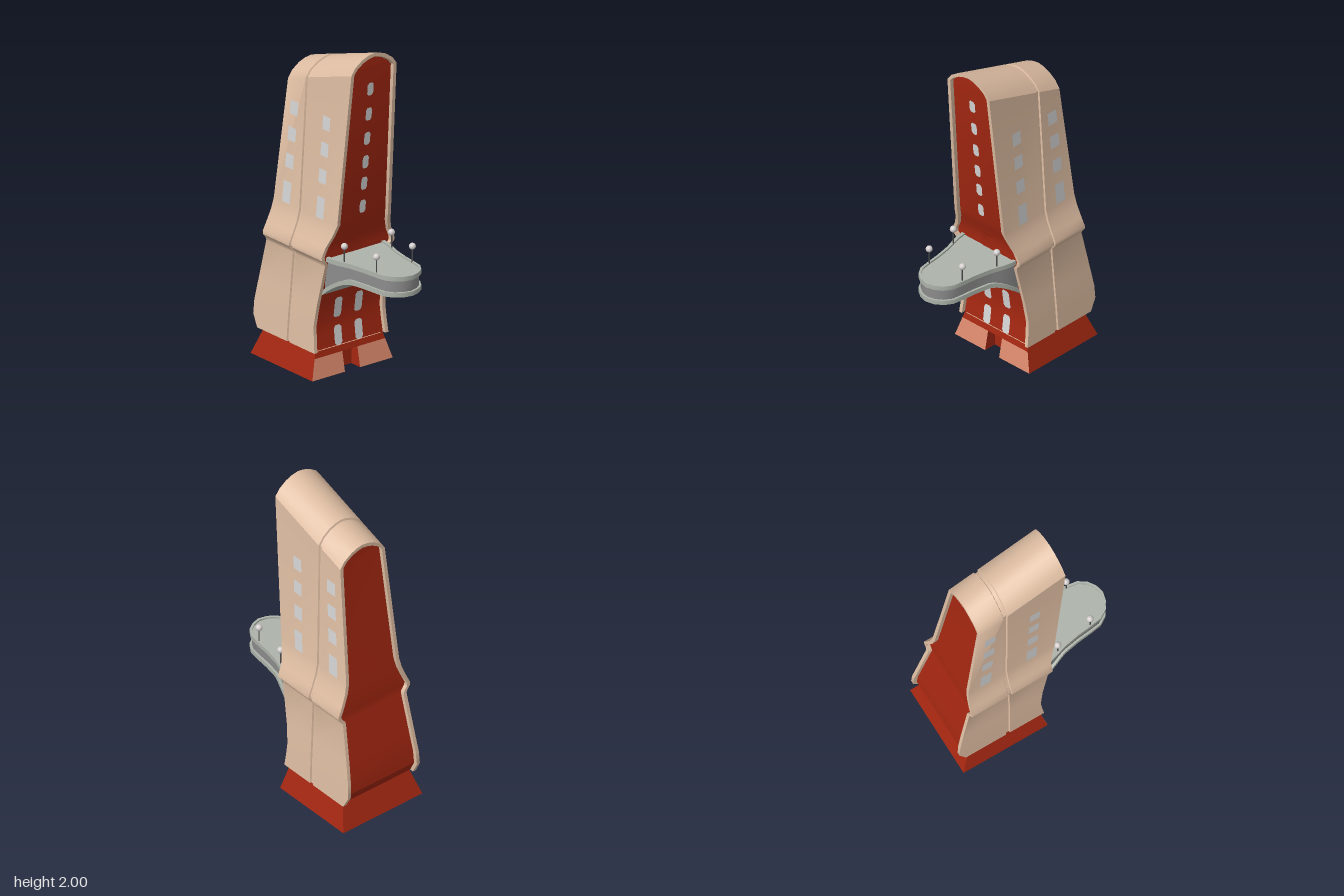
import * as THREE from 'three';
import { toCreasedNormals } from 'three/addons/utils/BufferGeometryUtils.js';

const mat = (name, color) => Object.assign(new THREE.MeshStandardMaterial({ color, side: THREE.DoubleSide }), { name });
const lerp = THREE.MathUtils.lerp;

// Skin a surface over rows of [x, y, z] points; ring = join last column to first
function loft(rows, ring = false, crease = 0.6) {
  const pos = [];
  const tri = (a, b, c) => {
    const [A, B, C] = [a, b, c].map((p) => new THREE.Vector3(...p));
    if (B.sub(A).cross(C.sub(A)).length() > 1e-9) pos.push(...a, ...b, ...c);
  };
  for (let r = 0; r + 1 < rows.length; r++) {
    const n = rows[r].length;
    for (let c = 0; c < (ring ? n : n - 1); c++) {
      const d = (c + 1) % n;
      tri(rows[r][c], rows[r][d], rows[r + 1][d]);
      tri(rows[r][c], rows[r + 1][d], rows[r + 1][c]);
    }
  }
  const g = new THREE.BufferGeometry();
  g.setAttribute('position', new THREE.Float32BufferAttribute(pos, 3));
  return toCreasedNormals(g, crease);
}

// Tower half-section: z, left y, left x, right y, right x, roof factor
const section = [
  [0.27, 0.16, -0.52, 0.16, 0, 0],
  [0.266, 0.235, -0.56, 0.235, -0.01, 0],
  [0.262, 0.32, -0.555, 0.32, -0.018, 0],
  [0.252, 0.45, -0.53, 0.45, 0, 0],
  [0.236, 0.7, -0.479, 0.7, 0.053, 0],
  [0.24, 0.715, -0.476, 0.715, 0.056, 0],
  [0.264, 0.745, -0.475, 0.745, 0.06, 0],
  [0.265, 0.765, -0.475, 0.765, 0.06, 0],
  [0.24, 0.82, -0.472, 0.82, 0.064, 0],
  [0.212, 0.89, -0.466, 0.89, 0.09, 0],
  [0.196, 0.96, -0.46, 0.96, 0.115, 0],
  [0.165, 1.71, -0.37, 1.9, 0.205, 0],
  [0.135, 1.752, -0.37, 1.942, 0.205, 0.5],
  [0.085, 1.787, -0.37, 1.977, 0.205, 0.85],
  [0.04, 1.804, -0.37, 1.994, 0.205, 1],
  [0, 1.81, -0.37, 2, 0.205, 1],
];
const thick = 0.022, recess = 0.025;

// Point on a section row at x, sunk by t below the outer surface
function skin([z, yL, xL, yR, xR, k], x, t) {
  const y = lerp(yL, yR, (x - xL) / (xR - xL));
  return [x, y - t * k, yL > 1.5 ? z * (1 - t / 0.165) : z - t];
}
const flip = (rows) => rows.map((row) => row.map(([x, y, z]) => [x, y, -z]));

// x of the recessed right end wall at height y
function endX(y) {
  for (let i = 1; i < section.length; i++) {
    const a = section[i - 1], b = section[i];
    if (y <= b[3]) return lerp(a[4], b[4], (y - a[3]) / (b[3] - a[3])) - recess;
  }
  return 0.205 - recess;
}

export function createModel() {
  const root = new THREE.Group();
  root.name = 'tower';
  const M = {
    tan: mat('tan cladding', 0xdebda2),
    red: mat('red wall', 0xa42711),
    salmon: mat('salmon panel', 0xdc8a6e),
    pane: mat('window pane', 0xd6d6d6),
    sage: mat('sage deck', 0xadb4aa),
    grey: mat('grey parapet', 0x8c8c8c),
    dark: mat('dark pole', 0x4c4c4c),
    globe: mat('lamp globe', 0xd6d0d0),
  };
  const add = (name, geo, m, parent = root) => {
    const mesh = new THREE.Mesh(geo, m);
    mesh.name = name;
    parent.add(mesh);
    return mesh;
  };

  // Cladding: closed ring of outer skin with a vertical groove, and inner skin
  const shellRow = (s, rim) => {
    const gx = lerp(-0.24, -0.19, (s[1] - 0.16) / 1.65), o = rim ? thick : 0, g = rim ? thick : 0.01;
    return [[s[2], o], [gx - 0.014, o], [gx - 0.01, g], [gx + 0.01, g], [gx + 0.014, o], [s[4], o],
      [s[4], thick], [s[2], thick]].map(([x, t]) => skin(s, x, t));
  };
  const half = [shellRow(section[0], true), ...section.map((s) => shellRow(s, false))];
  add('cladding', loft([...half, ...flip(half.slice(0, -1)).reverse()], true), M.tan);

  // Red body recessed between the cladding edges
  add('body', loft(section.map((s) => {
    const l = skin(s, s[2], thick - 0.004), r = skin(s, s[4], thick - 0.004);
    const xl = l[0] + recess, xr = r[0] - recess;
    return [[xl, l[1], l[2]], [xr, r[1], r[2]], [xr, r[1], -r[2]], [xl, l[1], -l[2]]];
  }), true, 0.3), M.red);

  // Slanted windows on both broad sides
  const sideZ = (x, y) => 0.196 - 0.031 * (y - 0.96) / (1.832 + 0.33 * x - 0.96) + 0.003;
  for (const [y0, y1] of [[0.96, 1.092], [1.175, 1.262], [1.343, 1.428], [1.505, 1.59]]) {
    for (const [xa, xb, w] of [[-0.383, -0.333, 0.07], [-0.075, -0.037, 0.066]]) {
      const rows = [y0, y1].map((y) => {
        const x = lerp(xa, xb, (y - 0.96) / 0.63);
        return [[x, y, sideZ(x, y)], [x + w, y, sideZ(x + w, y)]];
      });
      add('frontWindow', loft(rows), M.pane);
      add('backWindow', loft(flip(rows).map((r) => r.reverse())), M.pane);
    }
  }

  // Thin plates on the right end wall; each step is [y, half width]
  const endPlate = (name, zc, steps, m) => add(name, loft(steps.map(([y, w]) =>
    [[endX(y) + 0.005, y, zc + w], [endX(y) + 0.005, y, zc - w]])), m);
  const endWindow = (zc, w, y0, y1) => endPlate('endWindow', zc,
    [[y0, w * 0.55], [y0 + 0.014, w], [y1 - 0.014, w], [y1, w * 0.55]], M.pane);
  for (const y of [1.03, 1.175, 1.31, 1.458, 1.612, 1.77]) endWindow(0, 0.022, y - 0.04, y + 0.04);
  for (const z of [-0.075, 0.075]) {
    endWindow(z, 0.027, 0.162, 0.28);
    endWindow(z, 0.027, 0.328, 0.455);
  }
  endPlate('terraceDoor', 0, [[0.74, 0.046], [0.82, 0.046], [0.838, 0.036], [0.848, 0.018]], M.red);

  // Flared plinth with a door recess between two panels on the right
  const base = new THREE.Group();
  base.name = 'base';
  root.add(base);
  const H = 0.158;
  const fx = (y) => 0.01 - 0.032 * y / H, fz = (y) => 0.293 - 0.047 * y / H, lx = (y) => -0.55 + 0.06 * y / H;
  add('plinth', loft([0, H].map((y) =>
    [[fx(y), y, -fz(y)], [lx(y), y, -fz(y)], [lx(y), y, fz(y)], [fx(y), y, fz(y)]])), M.red, base);
  add('plinthBand', loft([0.12, H].map((y) => [[fx(y), y, fz(y)], [fx(y), y, -fz(y)]])), M.red, base);
  for (const s of [1, -1]) {
    const rows = [0, 0.12].map((y) => [[fx(y), y, s * fz(y)], [fx(y), y, s * 0.055]]);
    add('plinthPanel', loft(s > 0 ? rows : rows.map((r) => r.reverse())), M.salmon, base);
  }
  add('doorRecess', loft([0, 0.12].map((y) =>
    [[fx(y), y, 0.055], [-0.07, y, 0.055], [-0.07, y, -0.055], [fx(y), y, -0.055]])), M.red, base);
  add('doorLintel', loft([[[-0.07, 0.12, 0.055], [fx(0.12), 0.12, 0.055]],
    [[-0.07, 0.12, -0.055], [fx(0.12), 0.12, -0.055]]]), M.red, base);
  const floor = add('floor', new THREE.BoxGeometry(0.46, 0.006, 0.48), M.tan, base);
  floor.position.set(-0.255, 0.15, 0);

  // Terrace with rounded nose, two lips and a curved soffit
  const terrace = new THREE.Group();
  terrace.name = 'terrace';
  root.add(terrace);
  const edge = [[0, 0.213], [0.04, 0.212], [0.08, 0.207], [0.12, 0.197], [0.16, 0.184], [0.2, 0.171], [0.3, 0.152],
    [0.39, 0.142], [0.46, 0.132], [0.51, 0.1], [0.542, 0.053], [0.555, 0]];
  const outline = [...edge, ...edge.slice(0, -1).map(([x, z]) => [x, -z]).reverse()];
  const under = (x) => 0.622 - 0.115 * Math.pow(Math.max(0, 0.2 - x) / 0.2, 1.5);
  const inset = (x, z, d) => [x - d * Math.max(0, (x - 0.4) / 0.155), z * (1 - d / 0.15)];
  const band = (name, steps, m) => add(name, loft(steps.map(([d, lift, top]) => outline.map(([x, z]) => {
    const [px, pz] = inset(x, z, d);
    return [px, top ?? under(x) + lift, pz];
  }))), m, terrace);
  band('lowerLip', [[0.015, 0], [0, 0], [0, 0.028], [0.013, 0.028]], M.sage);
  band('parapet', [[0.013, 0.028], [0.013, 0, 0.72]], M.grey);
  band('upperLip', [[0.013, 0, 0.72], [0, 0, 0.72], [0, 0, 0.748], [0.015, 0, 0.748], [0.015, 0, 0.738]], M.sage);
  const slab = (d, yOf, s) => loft(edge.map(([x, z]) => {
    const [px, pz] = inset(x, z, d);
    return [[px, yOf(x), -s * pz], [px, yOf(x), s * pz]];
  }));
  add('deck', slab(0.015, () => 0.738, 1), M.sage, terrace);
  add('soffit', slab(0.015, under, -1), M.sage, terrace);

  // Globe lamps along the terrace edge
  for (const [x, z] of [[0.15, 0.172], [0.39, 0.131]]) {
    for (const s of [1, -1]) {
      const lamp = new THREE.Group();
      lamp.name = 'lamp';
      lamp.position.set(x, 0.738, s * z);
      terrace.add(lamp);
      add('lampPole', new THREE.CylinderGeometry(0.004, 0.004, 0.09, 8), M.dark, lamp).position.y = 0.045;
      add('lampGlobe', new THREE.SphereGeometry(0.02, 16, 12), M.globe, lamp).position.y = 0.104;
    }
  }
  return root;
}
